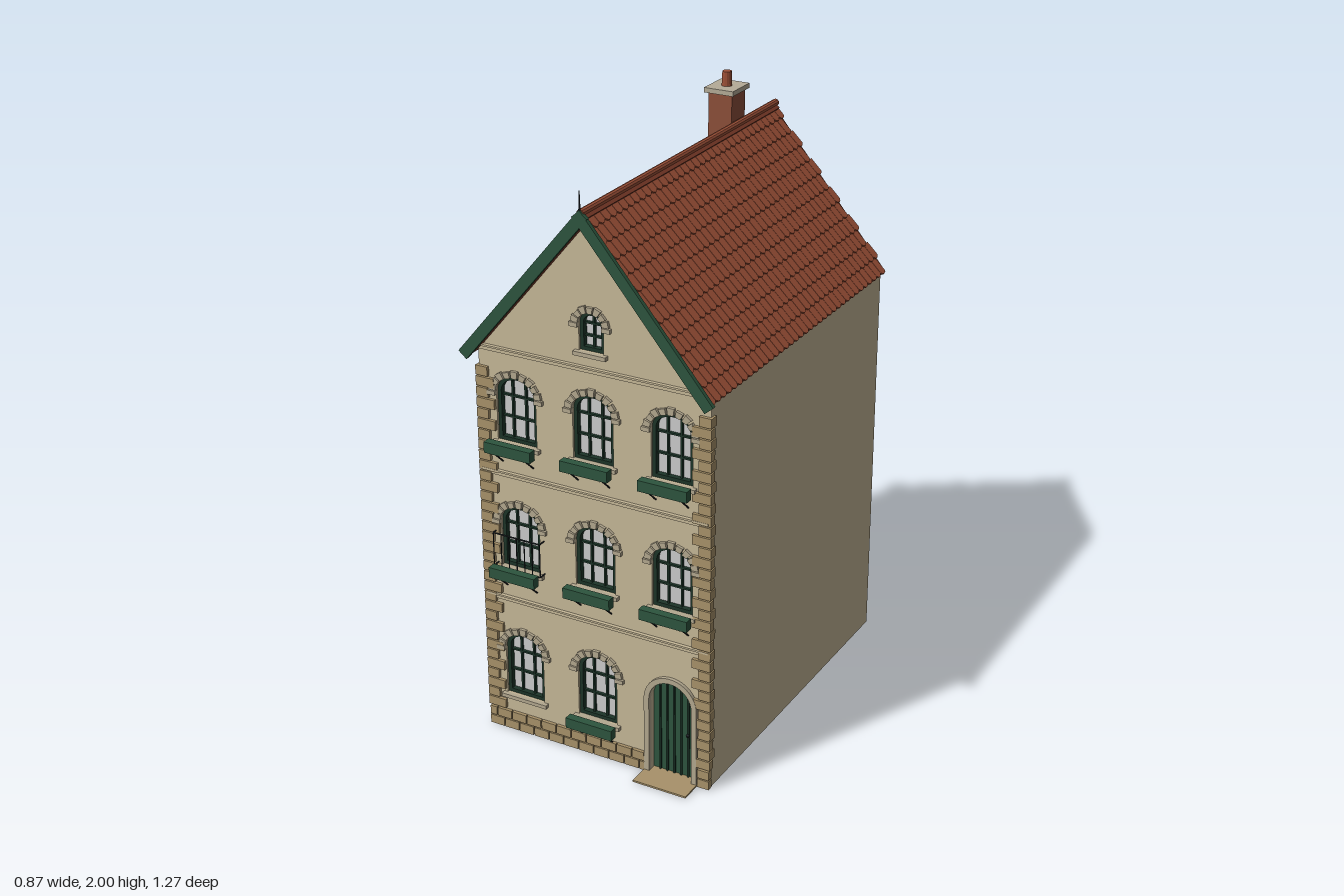
import * as THREE from 'three';
import { mergeGeometries } from 'three/addons/utils/BufferGeometryUtils.js';

const mat = (color) => new THREE.MeshStandardMaterial({ color, flatShading: true });
const M = {
  wall: mat(0xc6b898), inner: mat(0xb59c78), stone: mat(0xa8926a), trim: mat(0xb3a88f),
  tile: mat(0x9c5037), under: mat(0x7a3a28), brick: mat(0x8c4f3a), cap: mat(0xb5ac98),
  green: mat(0x2d553e), dark: mat(0x1c3428), glass: mat(0xc4c6c8), iron: mat(0x22262a),
};
const FRONT = 0.55, BACK = -0.625, EAVE = 1.33, APEX = 1.815;

function add(parent, name, geo, material, x = 0, y = 0, z = 0) {
  const m = new THREE.Mesh(geo, material);
  m.name = name;
  m.position.set(x, y, z);
  parent.add(m);
  return m;
}
// Box given by its limits
function block(x0, x1, y0, y1, z0, z1) {
  return new THREE.BoxGeometry(x1 - x0, y1 - y0, z1 - z0)
    .translate((x0 + x1) / 2, (y0 + y1) / 2, (z0 + z1) / 2);
}
function rod(a, b, r) {
  const path = new THREE.LineCurve3(new THREE.Vector3(...a), new THREE.Vector3(...b));
  return new THREE.TubeGeometry(path, 1, r, 6);
}
const extrude = (shape, depth, z) =>
  new THREE.ExtrudeGeometry(shape, { depth, bevelEnabled: false, curveSegments: 12 }).translate(0, 0, z);

// Arched outline, centred on x, from y0 up to y1, with half width w and arch rise
function arch(x, y0, y1, w, rise, Type = THREE.Shape) {
  const s = new Type();
  s.moveTo(x - w, y0);
  s.lineTo(x + w, y0);
  s.lineTo(x + w, y1 - rise);
  s.absellipse(x, y1 - rise, w, rise, 0, Math.PI, false);
  s.lineTo(x - w, y0);
  return s;
}
function arched(o, grow) {
  return arch(o.x, o.y0 + grow * -1, o.y1 + grow, o.w + grow, o.rise + grow);
}
function archRing(o, grow, t, depth, z) {
  const s = arched(o, grow);
  s.holes.push(arched(o, grow - t));
  return extrude(s, depth, z);
}
// Wedge stones around the head of an opening
function voussoirs(o, n, t) {
  const parts = [], cy = o.y1 - o.rise, gap = 0.04;
  for (let i = 0; i < n; i++) {
    const a = Math.PI * i / n + gap, b = Math.PI * (i + 1) / n - gap, k = t + (i % 2 ? 0 : 0.004);
    const p = (ang, g) => new THREE.Vector2(o.x + (o.w + g) * Math.cos(ang), cy + (o.rise + g) * Math.sin(ang));
    parts.push(extrude(new THREE.Shape([p(a, 0), p(a, k), p(b, k), p(b, 0)]), 0.014, FRONT - 0.004));
  }
  return mergeGeometries(parts);
}

function addWindow(g, o) {
  const win = new THREE.Group();
  win.name = 'window';
  g.add(win);
  const { x, y0, y1, w, rise } = o;
  add(win, 'pane', extrude(arched(o, 0), 0.004, FRONT - 0.032), M.glass);
  add(win, 'windowFrame', archRing(o, 0, 0.012, 0.018, FRONT - 0.026), M.dark);
  const bars = [], b = 0.003, z0 = FRONT - 0.026, z1 = FRONT - 0.016;
  for (const s of w > 0.06 ? [-1, 1] : [0]) {
    const bx = x + s * w / 3;
    bars.push(block(bx - b, bx + b, y0, y1 - 0.006, z0, z1));
  }
  for (const f of [0.36, 0.68]) {
    const by = y0 + (y1 - y0) * f;
    bars.push(block(x - w, x + w, by - b, by + b, z0, z1));
  }
  add(win, 'glazingBars', mergeGeometries(bars), M.dark);
  add(win, 'archStones', voussoirs(o, w > 0.06 ? 9 : 7, 0.02), M.trim);
  for (const s of [-1, 1]) {
    const ix = x + s * (w + 0.014);
    add(win, 'springStone', block(ix - 0.014, ix + 0.014, y1 - rise - 0.014, y1 - rise, FRONT - 0.004, FRONT + 0.012), M.trim);
  }
  add(win, 'sill', block(x - w - 0.014, x + w + 0.014, y0 - 0.013, y0, FRONT - 0.03, FRONT + 0.016), M.trim);
  if (o.box) {
    add(win, 'flowerBox', block(x - 0.083, x + 0.083, y0 - 0.022, y0 + 0.014, 0.584, 0.612), M.green);
    for (const s of [-1, 1]) {
      const bx = x + s * 0.055;
      add(win, 'boxBracket', mergeGeometries([
        rod([bx, y0 - 0.024, FRONT], [bx, y0 - 0.024, 0.61], 0.0025),
        rod([bx, y0 - 0.07, FRONT], [bx, y0 - 0.024, 0.6], 0.0025)]), M.iron);
    }
  }
}

export function createModel() {
  const house = new THREE.Group();
  house.name = 'townHouse';

  // Openings of the front wall
  const windows = [];
  for (const [y0, y1] of [[0.13, 0.36], [0.6, 0.815], [1.035, 1.255]])
    for (const x of [-0.27, 0, 0.27])
      if (y0 > 0.2 || x < 0.1) windows.push({ x, y0, y1, w: 0.07, rise: 0.055, box: y0 > 0.2 || x === 0 });
  windows.push({ x: 0, y0: 1.395, y1: 1.52, w: 0.042, rise: 0.036, box: false });
  const door = { x: 0.267, y0: 0, y1: 0.345, w: 0.075, rise: 0.075 };

  // Front wall
  const gable = () => new THREE.Shape([[-0.4, 0], [0.4, 0], [0.4, EAVE], [0, APEX], [-0.4, EAVE]].map(p => new THREE.Vector2(...p)));
  const facade = gable();
  for (const o of windows) facade.holes.push(arch(o.x, o.y0, o.y1, o.w, o.rise, THREE.Path));
  facade.holes.push(arch(door.x, 0.004, door.y1, door.w, door.rise, THREE.Path));
  add(house, 'frontWall', extrude(facade, 0.05, FRONT - 0.05), M.wall);

  // Body, open underneath behind the front rooms
  add(house, 'sideWalls', mergeGeometries([-1, 1].map(s =>
    block(Math.min(s * 0.34, s * 0.4), Math.max(s * 0.34, s * 0.4), 0, EAVE, BACK, 0.5))), M.wall);
  add(house, 'backWall', block(-0.34, 0.34, 0, EAVE, BACK, -0.56), M.wall);
  add(house, 'frontRooms', block(-0.34, 0.34, 0, EAVE, 0.19, 0.5), M.inner);
  const attic = new THREE.Shape([new THREE.Vector2(-0.4, EAVE), new THREE.Vector2(0.4, EAVE), new THREE.Vector2(0, APEX)]);
  add(house, 'attic', extrude(attic, 0.5 - BACK, BACK), M.wall);

  windows.forEach(o => addWindow(house, o));

  // Door with planks, handle, surround and step
  const entry = new THREE.Group();
  entry.name = 'entrance';
  house.add(entry);
  add(entry, 'door', extrude(arched(door, 0), 0.015, FRONT - 0.035), M.green).scale.y = 1;
  for (let i = -2; i <= 2; i++) {
    const px = door.x + i * 0.025, top = door.y1 - 0.012 - Math.abs(i) * 0.009;
    add(entry, 'plankStrip', block(px - 0.003, px + 0.003, 0.005, top, FRONT - 0.02, FRONT - 0.014), M.dark);
  }
  const surround = arch(door.x, 0, door.y1 + 0.018, door.w + 0.018, door.rise + 0.018);
  surround.holes.push(arch(door.x, 0.0005, door.y1, door.w, door.rise, THREE.Path));
  add(entry, 'doorSurround', extrude(surround, 0.016, FRONT - 0.004), M.trim);
  add(entry, 'handle', new THREE.SphereGeometry(0.006, 8, 6), M.iron, door.x + 0.05, 0.16, FRONT - 0.012);
  add(entry, 'doorStep', block(0.173, 0.361, 0, 0.006, FRONT - 0.03, 0.633), M.stone);

  // Corner stones, alternating long and short
  const quoins = [];
  for (let i = 0; i < 34; i++) {
    const y = 0.072 + i * 0.0355, len = i % 2 ? 0.042 : 0.064;
    for (const s of [-1, 1]) {
      const a = s * 0.407, b = s * (0.407 - len);
      quoins.push(block(Math.min(a, b), Math.max(a, b), y, y + 0.031, FRONT - (i % 2 ? 0.02 : 0.012), FRONT + 0.011));
    }
  }
  add(house, 'cornerStones', mergeGeometries(quoins), M.stone);

  // Two courses of plinth stones, stopping at the door
  const plinth = [];
  for (const r of [0, 1])
    for (let i = 0; i < 11; i++) {
      const x0 = Math.max(-0.403, -0.403 + (i - r * 0.5) * 0.056);
      const x1 = Math.min(0.172, -0.403 + (i + 1 - r * 0.5) * 0.056 - 0.004);
      if (x1 > x0) plinth.push(block(x0, x1, r * 0.034 + 0.001, r * 0.034 + 0.031, FRONT - 0.01, FRONT + 0.011));
    }
  for (const r of [0, 1])
    plinth.push(block(0.363, 0.403, r * 0.034 + 0.001, r * 0.034 + 0.031, FRONT - 0.01, FRONT + 0.011));
  add(house, 'plinthStones', mergeGeometries(plinth), M.stone);

  // String courses between floors
  for (const y of [0.475, 0.915, 1.33])
    add(house, 'stringCourse', mergeGeometries([
      block(-0.398, 0.398, y, y + 0.012, FRONT - 0.005, FRONT + 0.007),
      block(-0.398, 0.398, y + 0.012, y + 0.018, FRONT - 0.005, FRONT + 0.012)]), M.wall);

  // Small railing at one window
  const rail = [0.605, 0.72].map(y => rod([-0.355, y, 0.576], [-0.185, y, 0.576], 0.0025));
  for (let i = 0; i <= 6; i++) {
    const x = -0.355 + i * 0.17 / 6;
    rail.push(rod([x, 0.605, 0.576], [x, 0.72, 0.576], 0.0018));
  }
  for (const x of [-0.355, -0.185]) for (const y of [0.605, 0.72]) rail.push(rod([x, y, FRONT], [x, y, 0.576], 0.0025));
  add(house, 'railing', mergeGeometries(rail), M.iron);

  // Roof slopes with overlapping rounded tiles
  const RIDGE = 1.845, run = 0.425, drop = 0.51, L = Math.hypot(run, drop), angle = Math.atan2(drop, run);
  const rows = 12, cols = 36, depth = 1.21, tw = depth / cols, h = tw / 2 - 0.0008;
  const outline = new THREE.Shape();
  outline.moveTo(0, -h);
  outline.lineTo(0.052, -h);
  outline.quadraticCurveTo(0.07, 0, 0.052, h);
  outline.lineTo(0, h);
  const tile = new THREE.ExtrudeGeometry(outline, { depth: 0.006, bevelEnabled: false, curveSegments: 4 })
    .rotateX(-Math.PI / 2).rotateZ(0.1);
  const tiles = [];
  for (let r = 0; r < rows; r++)
    for (let c = 0; c < cols; c++)
      tiles.push(tile.clone().translate(r * (L - 0.003) / rows, -0.011, (c + 0.5) * tw - depth / 2 + (r % 2 ? 1 : -1) * tw / 4));
  const tileGeo = mergeGeometries(tiles);
  for (const side of [1, -1]) {
    const slope = new THREE.Group();
    slope.name = 'roofSlope';
    slope.position.set(0, RIDGE, -0.015);
    slope.rotation.set(0, side < 0 ? Math.PI : 0, -angle);
    house.add(slope);
    add(slope, 'roofBoard', block(0, L, -0.026, -0.008, -0.608, 0.608), M.under);
    add(slope, 'roofTiles', tileGeo, M.tile);
    // Green verge board on the street gable
    const z = side * 0.613;
    add(slope, 'vergeBoard', block(-0.004, L + 0.008, -0.03, 0.006, z - 0.007, z + 0.007), M.green);
  }
  add(house, 'ridgeTiles', new THREE.CylinderGeometry(0.012, 0.012, 1.232, 10).rotateX(Math.PI / 2), M.tile, 0, 1.841, -0.018);
  add(house, 'finial', new THREE.CylinderGeometry(0.0015, 0.004, 0.08, 6), M.iron, 0, 1.87, 0.6);

  // Chimney
  add(house, 'chimneyStack', block(-0.096, -0.012, 1.68, 1.937, -0.436, -0.346), M.brick);
  add(house, 'chimneyCap', block(-0.106, -0.003, 1.937, 1.953, -0.449, -0.335), M.cap);
  add(house, 'chimneyPot', new THREE.CylinderGeometry(0.015, 0.017, 0.05, 12), M.tile, -0.054, 1.975, -0.392);
  return house;
}
